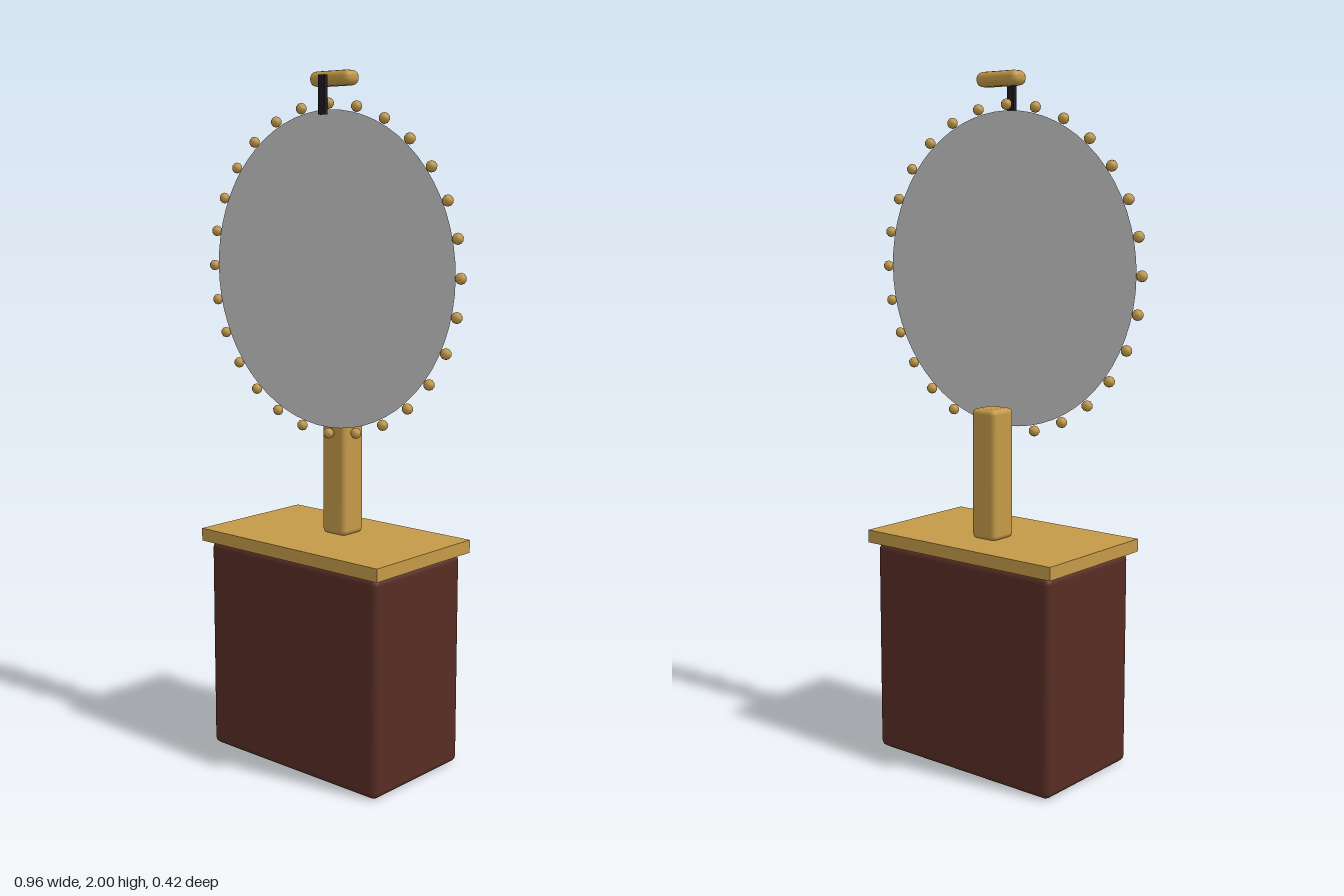
import * as THREE from 'three';
import { RoundedBoxGeometry } from 'three/addons/geometries/RoundedBoxGeometry.js';

const material = (name, color, side = THREE.FrontSide) => {
  const m = new THREE.MeshStandardMaterial({ color, side });
  m.name = name;
  return m;
};

export function createModel() {
  const group = new THREE.Group();
  const gold = material('gold', 0xc49a48);
  const wood = material('dark red wood', 0x572d24);
  const grey = material('pale grey', 0xcacaca, THREE.DoubleSide);
  const black = material('black', 0x1e1a20);

  const add = (name, geometry, mat, x, y, z, parent = group) => {
    const mesh = new THREE.Mesh(geometry, mat);
    mesh.name = name;
    mesh.position.set(x, y, z);
    parent.add(mesh);
    return mesh;
  };

  // Cabinet with its flat top slab
  add('cabinet', new RoundedBoxGeometry(0.645, 0.635, 0.384, 2, 0.02), wood, 0, 0.3175, 0);
  add('topSlab', new THREE.BoxGeometry(0.682, 0.038, 0.418), gold, 0, 0.656, 0);

  // Post behind the disc
  add('post', new RoundedBoxGeometry(0.088, 0.382, 0.09, 2, 0.015), gold, 0, 0.864, -0.04);

  // Flat round face
  const centreY = 1.445, faceZ = 0.022;
  add('disc', new THREE.CircleGeometry(0.449, 64), grey, 0, centreY, faceZ);

  // Ring of small faceted beads
  const beads = new THREE.Group();
  beads.name = 'beadRing';
  group.add(beads);
  const beadGeometry = new THREE.SphereGeometry(0.016, 6, 5).rotateY(Math.PI / 6);
  const count = 28, ringRadius = 0.466;
  for (let i = 0; i < count; i++) {
    const a = (i / count) * Math.PI * 2;
    add('bead', beadGeometry, gold, Math.sin(a) * ringRadius, centreY + Math.cos(a) * ringRadius, faceZ, beads);
  }

  // Pointer and the rounded bar above it
  add('pointer', new THREE.BoxGeometry(0.024, 0.108, 0.013), black, 0, 1.933, 0.046);
  add('topBar', new RoundedBoxGeometry(0.15, 0.042, 0.058, 2, 0.019), gold, 0, 1.979, -0.002);

  return group;
}
